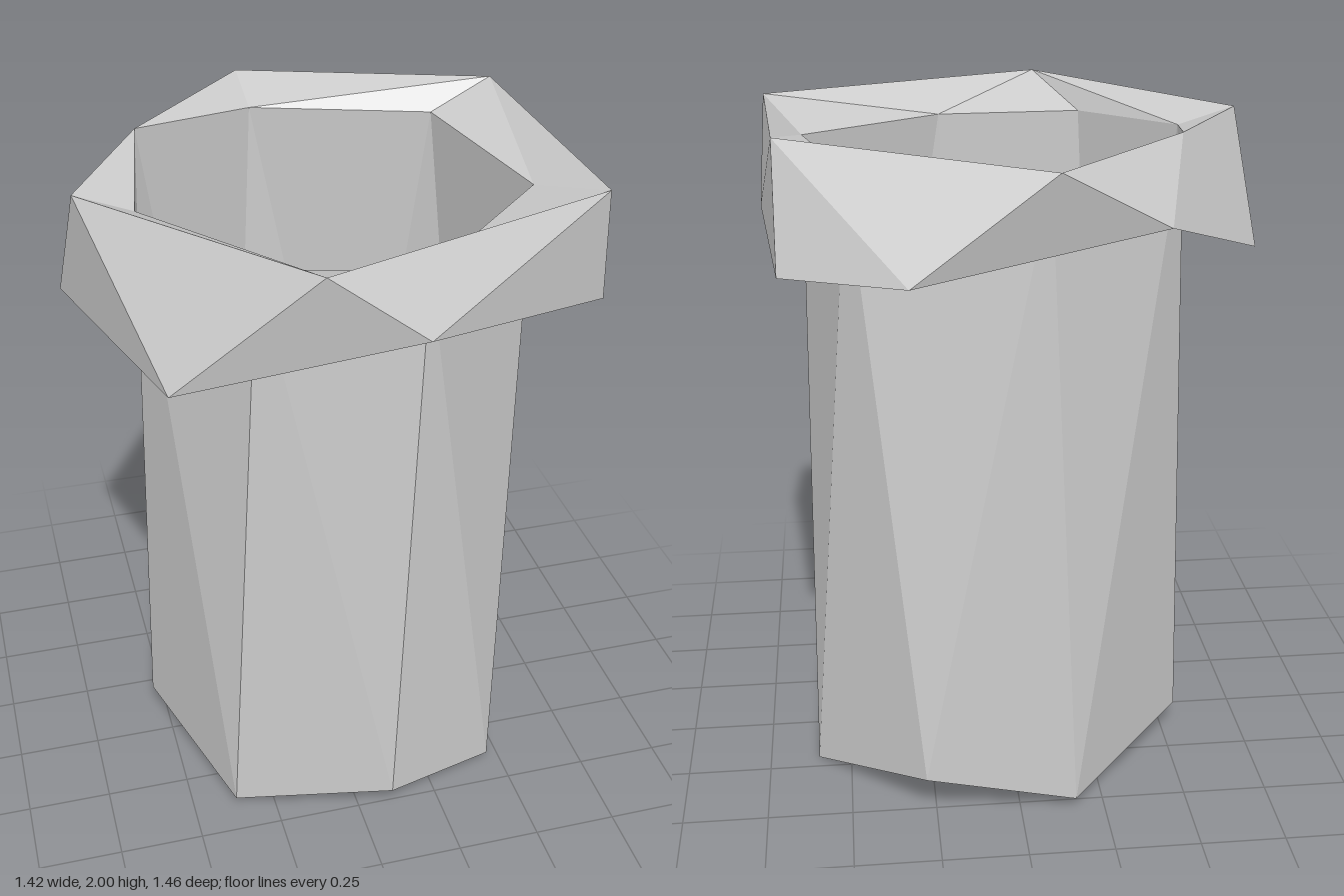
import * as THREE from 'three';

// Flat-shaded mesh from a list of triangles, each three [x, y, z] points
function facetMesh(name, triangles) {
  const geometry = new THREE.BufferGeometry();
  geometry.setAttribute('position', new THREE.Float32BufferAttribute(triangles.flat(2), 3));
  geometry.computeVertexNormals();
  const material = new THREE.MeshStandardMaterial({
    color: 0xcccccc, flatShading: true, side: THREE.DoubleSide,
  });
  const mesh = new THREE.Mesh(geometry, material);
  mesh.name = name;
  return mesh;
}

// Uneven seven-sided rings, both starting on the -x side and turning through the front
const foot = [
  [-0.54, 0.08, -0.125], [-0.37, 0.03, 0.40], [0.09, 0.10, 0.56], [0.46, 0.02, 0.40],
  [0.60, 0.0, -0.20], [0.28, 0.14, -0.56], [-0.165, 0.03, -0.54],
];
const mouth = [
  [-0.52, 1.91, 0.09], [-0.28, 1.885, 0.45], [0.15, 1.865, 0.535], [0.57, 1.89, 0.155],
  [0.45, 1.91, -0.38], [-0.07, 1.916, -0.54], [-0.45, 1.975, -0.315],
];

// Outer rim: five high points and seven points along the hanging edge
const crest = {
  A: [-0.07, 1.97, -0.72], D: [0.635, 2.0, -0.39], F: [0.685, 1.965, 0.40],
  H: [-0.165, 1.97, 0.70], J: [-0.68, 1.965, 0.07],
};
const hem = {
  B: [0.305, 1.69, -0.73], C: [0.635, 1.665, -0.515], E: [0.71, 1.63, 0.37],
  G: [0.095, 1.775, 0.725], I: [-0.53, 1.605, 0.54], K: [-0.715, 1.60, -0.13],
  L: [-0.375, 1.79, -0.595],
};

export function createModel() {
  const model = new THREE.Group();
  model.name = 'pot';

  // Body wall, open at the top
  const wall = [];
  foot.forEach((low, i) => {
    const j = (i + 1) % foot.length;
    wall.push([mouth[i], low, foot[j]], [mouth[i], foot[j], mouth[j]]);
  });
  model.add(facetMesh('body', wall));

  // Faceted bottom
  const base = [[3, 2, 1], [4, 3, 1], [6, 4, 1], [6, 5, 4], [1, 0, 6]];
  model.add(facetMesh('base', base.map((face) => face.map((i) => foot[i]))));

  // Rim: digits are mouth points, letters are crest and hem points
  const points = { ...crest, ...hem, ...mouth };
  const faces = (list) => list.split(' ').map((face) => [...face].map((key) => points[key]));
  model.add(facetMesh('rimTop', faces('65A A5D 54D D43 D3F F32 F2H H21 H10 H0J J06')));
  model.add(facetMesh('rimSkirt', faces('JKI JIH HIG HGF FGE FED DEC DCB DBA ABL AL6 6LK 6KJ')));

  return model;
}
